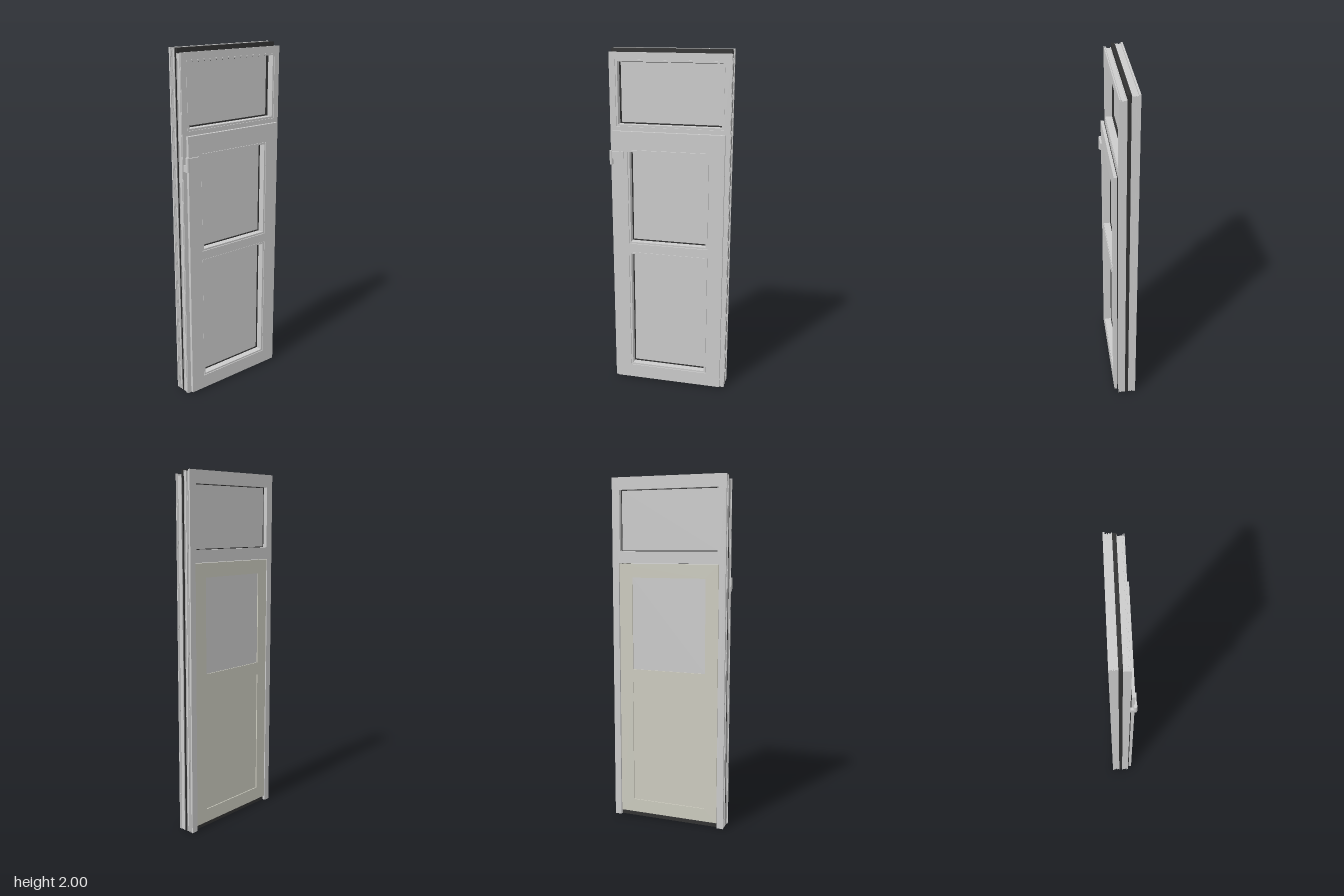
import * as THREE from 'three';

const grey = new THREE.MeshStandardMaterial({ color: 0xcccccc });
const dark = new THREE.MeshStandardMaterial({ color: 0x333333 });
const tinted = new THREE.MeshStandardMaterial({ color: 0xcccbbf });

// Rectangles are [x0, x1, y0, y1]; depths run from z0 to z1.
function corners([x0, x1, y0, y1]) {
  return [[x0, y0], [x1, y0], [x1, y1], [x0, y1]].map(p => new THREE.Vector2(...p));
}
const grow = ([x0, x1, y0, y1], d) => [x0 - d, x1 + d, y0 - d, y1 + d];

function add(group, name, geometry, material) {
  const mesh = new THREE.Mesh(geometry, material);
  mesh.name = name;
  group.add(mesh);
  return mesh;
}

function plate(group, name, outline, holes, z0, z1, material = grey) {
  const shape = new THREE.Shape(outline);
  for (const h of holes) shape.holes.push(new THREE.Path(corners(h)));
  const geo = new THREE.ExtrudeGeometry(shape, { depth: z1 - z0, bevelEnabled: false });
  geo.translate(0, 0, z0);
  return add(group, name, geo, material);
}
const panel = (group, name, rect, z0, z1, material) =>
  plate(group, name, corners(rect), [], z0, z1, material);

// Frame outline: two jambs and a head, with an open doorway below the transom
function frameOutline(halfWidth, top, doorHalf, doorTop) {
  return [
    [-halfWidth, 0], [-doorHalf, 0], [-doorHalf, doorTop], [doorHalf, doorTop],
    [doorHalf, 0], [halfWidth, 0], [halfWidth, top], [-halfWidth, top],
  ].map(p => new THREE.Vector2(...p));
}

export function createModel() {
  const model = new THREE.Group();
  model.name = 'doorWithTransomWindow';
  const fanlight = [-0.295, 0.295, 1.585, 1.93];
  const upper = [-0.225, 0.22, 0.9, 1.435];
  const lower = [-0.225, 0.22, 0.105, 0.825];

  // Fixed frame: [name, z0, z1, half width, top, material]
  const frame = new THREE.Group();
  frame.name = 'frame';
  model.add(frame);
  const layers = [
    ['backFlange', -0.072, -0.062, 0.342, 2.0, grey],
    ['backGroove', -0.062, -0.056, 0.337, 1.992, grey],
    ['backRib', -0.056, -0.052, 0.341, 1.992, grey],
    ['backGroove', -0.052, -0.046, 0.335, 1.992, grey],
    ['backRib', -0.046, -0.042, 0.341, 1.992, grey],
    ['backShell', -0.042, -0.032, 0.338, 1.992, grey],
    ['backRib', -0.032, -0.028, 0.341, 1.995, grey],
    ['thermalBreak', -0.028, -0.02, 0.336, 2.0, dark],
    ['thermalBreakRib', -0.02, -0.016, 0.341, 1.993, dark],
    ['thermalBreak', -0.016, -0.008, 0.336, 2.0, dark],
    ['frontRib', -0.008, -0.004, 0.341, 1.975, grey],
    ['frontShell', -0.004, 0.018, 0.338, 1.97, grey],
    ['frontRib', 0.018, 0.022, 0.342, 1.978, grey],
    ['frontGroove', 0.022, 0.026, 0.338, 1.97, grey],
  ];
  for (const [name, z0, z1, hw, top, mat] of layers) {
    plate(frame, name, frameOutline(hw, top, 0.303, 1.517), [fanlight], z0, z1, mat);
  }
  plate(frame, 'frontFlange', frameOutline(0.342, 1.98, 0.303, 1.517),
    [grow(fanlight, 0.012)], 0.026, 0.031);
  plate(frame, 'fanlightBead', corners(grow(fanlight, 0.010)), [fanlight], 0.026, 0.03);
  panel(frame, 'fanlightGlass', fanlight, -0.045, -0.02);
  plate(frame, 'fanlightGasket', corners(fanlight), [grow(fanlight, -0.006)], -0.02, -0.015, dark);
  plate(frame, 'fanlightBackGasket', corners(fanlight), [grow(fanlight, -0.004)], -0.047, -0.045, dark);
  panel(frame, 'threshold', [-0.303, 0.303, 0, 0.02], -0.055, 0.03, dark);

  // Door leaf
  const leaf = new THREE.Group();
  leaf.name = 'doorLeaf';
  model.add(leaf);
  const body = [-0.3, 0.3, 0.028, 1.514];
  plate(leaf, 'leafBackSheet', corners(body), [upper, lower], -0.068, -0.06, tinted);
  plate(leaf, 'leafBody', corners(body), [upper, lower], -0.06, 0.036);
  plate(leaf, 'leafSeal', corners([-0.318, 0.314, 0.014, 1.546]),
    [grow(body, -0.01)], 0.034, 0.038, dark);
  plate(leaf, 'leafFrontSheet', corners([-0.322, 0.318, 0.01, 1.55]),
    [grow(upper, 0.012), grow(lower, 0.012)], 0.038, 0.055);

  // Glazing, infill and their beads
  for (const [name, rect, backMat] of [['upperGlass', upper, grey], ['lowerPanel', lower, tinted]]) {
    panel(leaf, name, rect, -0.05, 0.01);
    panel(leaf, name + 'Back', rect, -0.062, -0.05, backMat);
    plate(leaf, name + 'Bead', corners(grow(rect, 0.010)), [rect], 0.03, 0.053);
    plate(leaf, name + 'Gasket', corners(rect), [grow(rect, -0.006)], 0.01, 0.015, dark);
  }

  // Hinge on the right edge of the leaf
  const hinge = new THREE.Group();
  hinge.name = 'hinge';
  model.add(hinge);
  const knuckle = new THREE.CylinderGeometry(0.01, 0.01, 0.08, 24);
  knuckle.translate(-0.331, 1.4, 0.058);
  add(hinge, 'hingeKnuckle', knuckle, grey);
  panel(hinge, 'hingeLeaf', [-0.331, -0.257, 1.396, 1.436], 0.055, 0.065);
  panel(hinge, 'hingeBracket', [-0.34, -0.323, 1.362, 1.396], 0.03, 0.055);
  return model;
}
